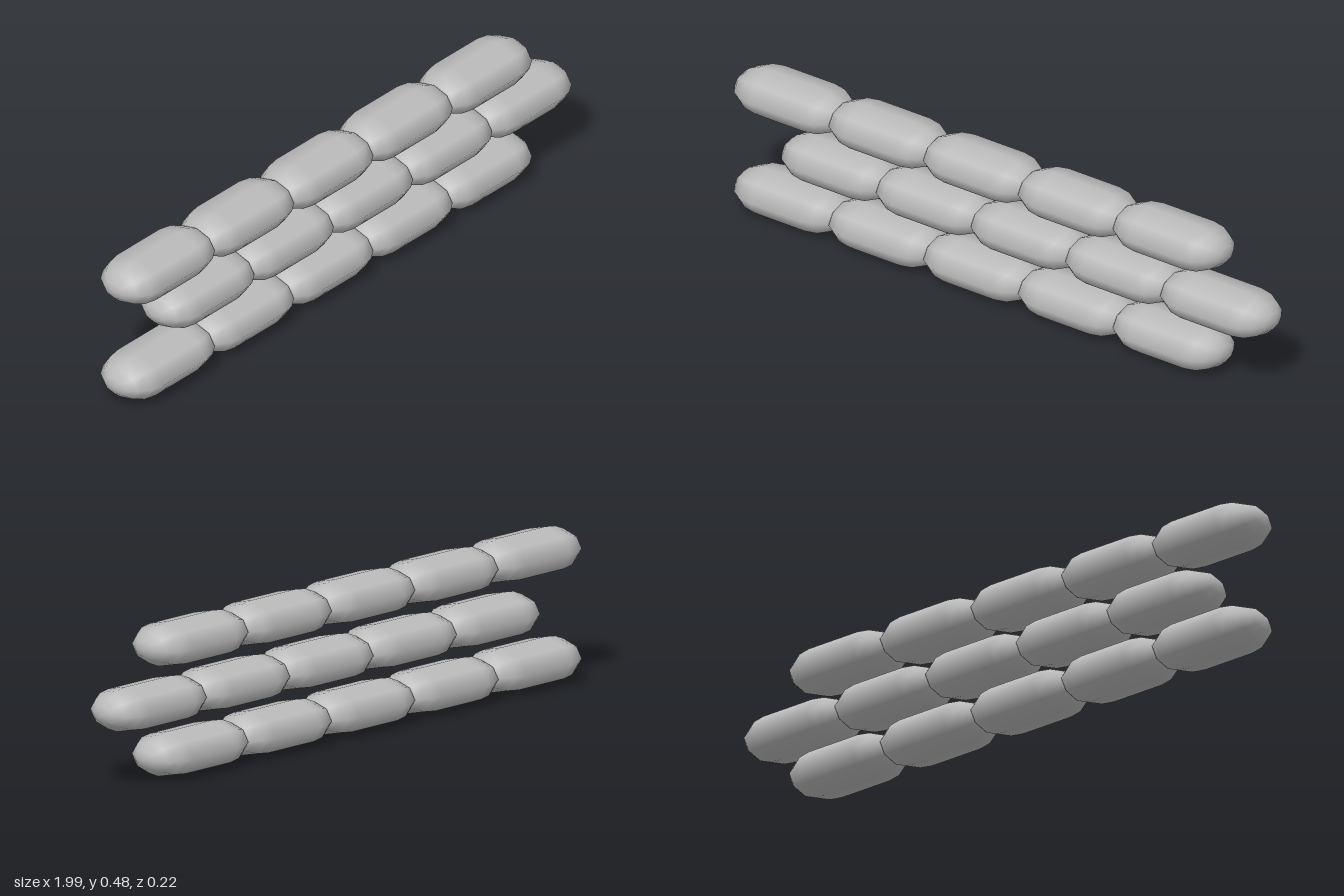
import * as THREE from 'three';

export function createModel() {
  const model = new THREE.Group();
  model.name = 'capsuleWall';
  const grey = new THREE.MeshStandardMaterial({ color: 0xbbbbbb });
  grey.name = 'grey';

  // one eight-sided capsule lying along x, flattened in height
  const radius = 0.108, length = 0.404, pitch = 0.353, rowHeight = 0.17;
  const capsule = new THREE.CapsuleGeometry(radius, length - 2 * radius, 4, 8);
  capsule.rotateZ(Math.PI / 2);
  capsule.scale(1, 0.634, 1);

  // three rows of five, the middle row shifted by half a capsule
  for (let row = 0; row < 3; row++) {
    const course = new THREE.Group();
    course.name = `row${row + 1}`;
    course.position.set(row % 2 ? pitch / 2 : 0, 0.07 + row * rowHeight, 0);
    for (let i = 0; i < 5; i++) {
      const mesh = new THREE.Mesh(capsule, grey);
      mesh.name = `capsule${i + 1}`;
      mesh.position.x = -1 + length / 2 + i * pitch;
      course.add(mesh);
    }
    model.add(course);
  }
  return model;
}
